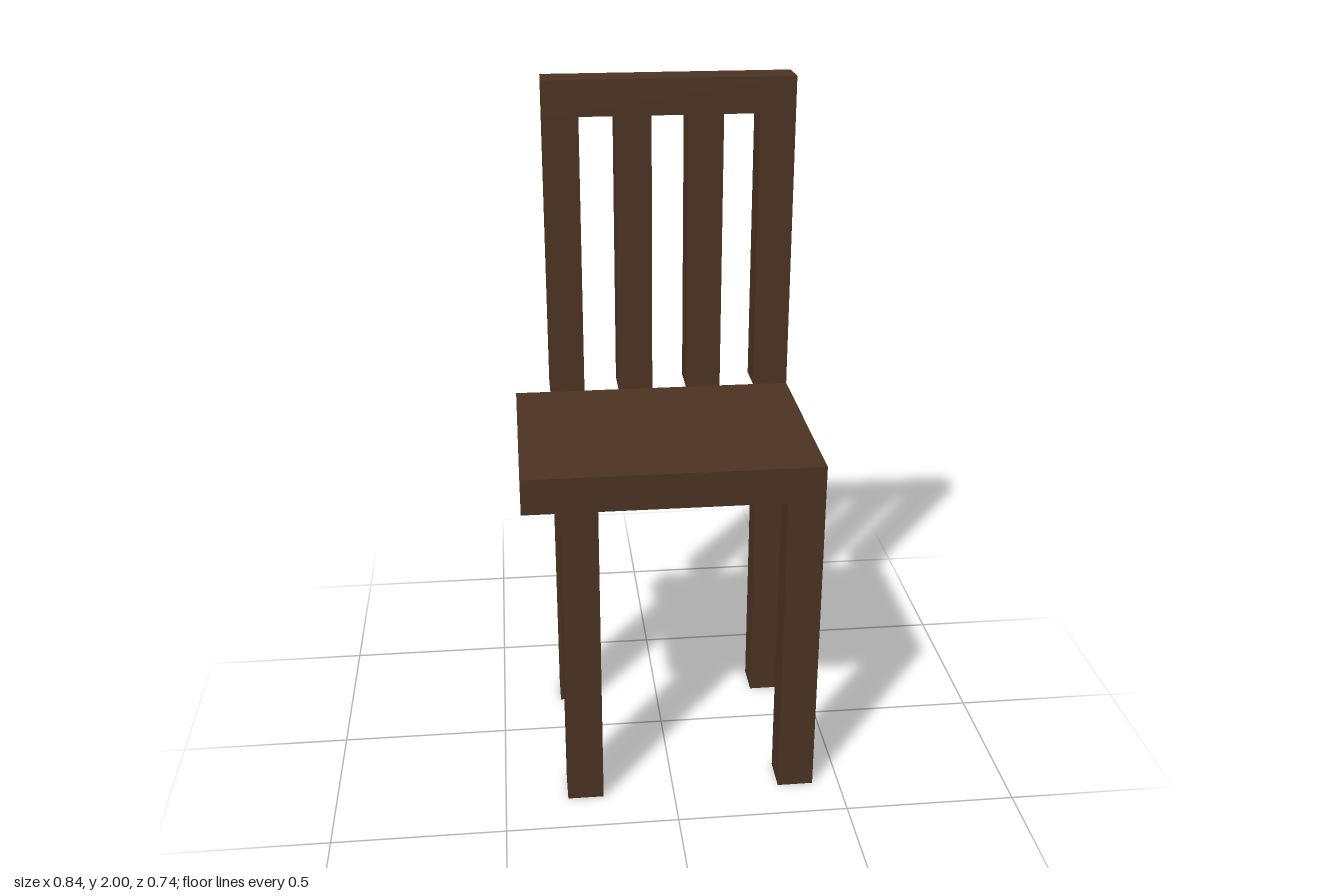
import * as THREE from 'three';

// The chair is laid out on a grid of cubes, 19 units tall.
const UNIT = 2 / 19;

export function createModel() {
  const chair = new THREE.Group();
  chair.name = 'chair';
  const darkWood = new THREE.MeshStandardMaterial({ color: 0x4e3423 });
  darkWood.name = 'darkWood';

  // Box spanning two opposite corners, given in grid units
  function addBox(name, [x0, y0, z0], [x1, y1, z1]) {
    const geometry = new THREE.BoxGeometry((x1 - x0) * UNIT, (y1 - y0) * UNIT, (z1 - z0) * UNIT);
    const mesh = new THREE.Mesh(geometry, darkWood);
    mesh.name = name;
    mesh.position.set(x0 + x1, y0 + y1, z0 + z1).multiplyScalar(UNIT / 2);
    chair.add(mesh);
  }

  // Legs: the right pair is inset by one unit, the left pair is flush
  for (const [side, x] of [['Right', -3], ['Left', 3]]) {
    addBox(`front${side}Leg`, [x, 0, 2.5], [x + 1, 9, 3.5]);
    addBox(`back${side}Leg`, [x, 0, -2.5], [x + 1, 9, -1.5]);
  }

  // Seat
  addBox('seat', [-4, 9, -2.5], [4, 10, 3.5]);

  // Backrest: four uprights behind the seat, joined by a top rail
  [-3, -1, 1, 3].forEach((x, i) => {
    addBox(`backSlat${i + 1}`, [x, 10, -3.5], [x + 1, 18, -2.5]);
  });
  addBox('topRail', [-3, 18, -3.5], [4, 19, -2.5]);

  return chair;
}
